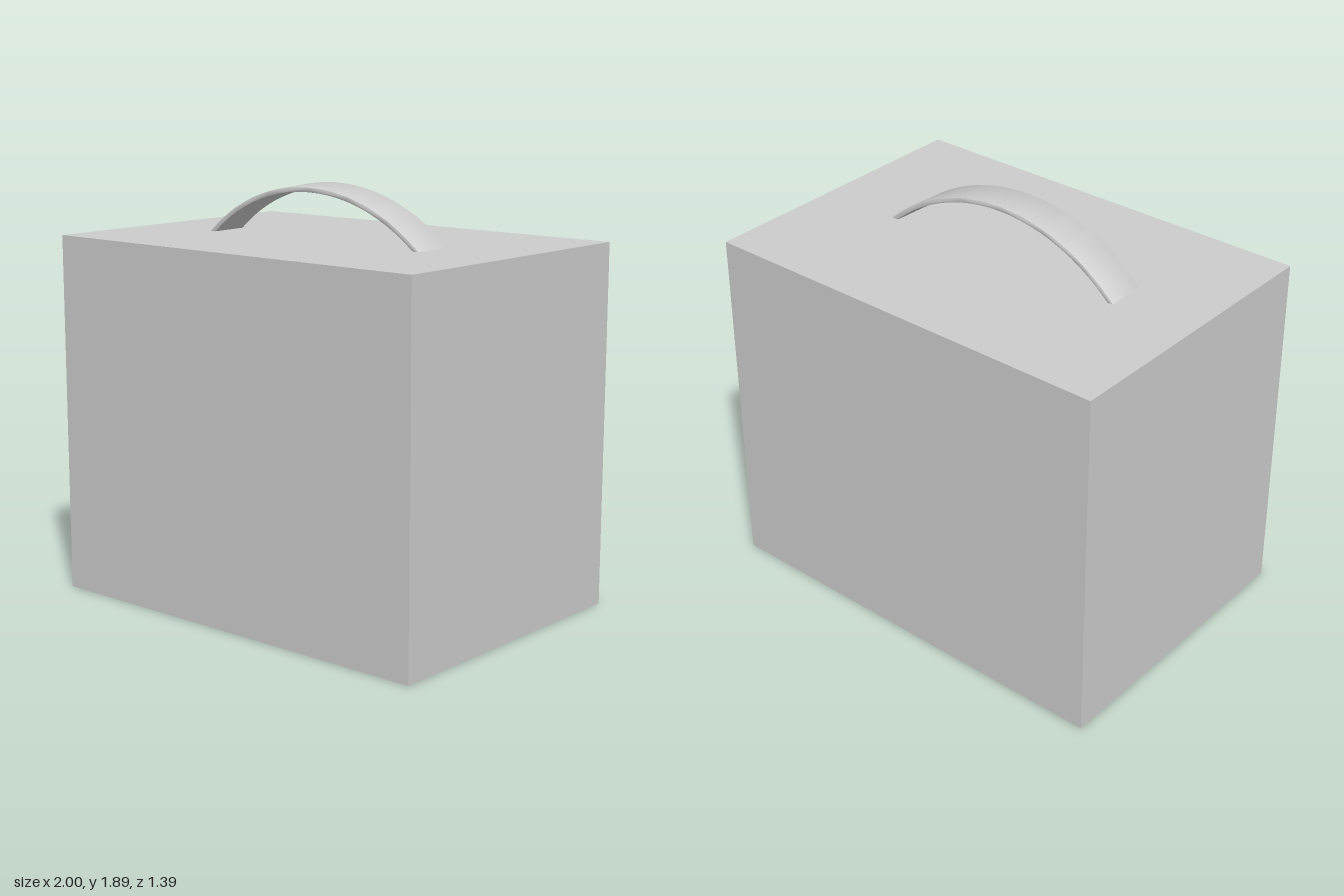
import * as THREE from 'three';
import { toCreasedNormals } from 'three/addons/utils/BufferGeometryUtils.js';

const WIDTH = 2, HEIGHT = 1.645, DEPTH = 1.386;

// Curved strap: a thin slice of a ring, extruded to the strap's width
function strapGeometry(radius, thickness, width, halfAngle) {
  const bevel = 0.004;
  const outer = radius - bevel, inner = radius - thickness + bevel;
  const start = Math.PI / 2 - halfAngle, end = Math.PI / 2 + halfAngle;
  const shape = new THREE.Shape();
  shape.absarc(0, 0, outer, start, end, false);
  shape.absarc(0, 0, inner, end, start, true);
  shape.closePath();
  const geometry = new THREE.ExtrudeGeometry(shape, {
    depth: width - 2 * bevel, curveSegments: 12,
    bevelEnabled: true, bevelThickness: bevel, bevelSize: bevel, bevelSegments: 2,
  });
  geometry.translate(0, 0, -width / 2 + bevel);
  return toCreasedNormals(geometry, 0.6);
}

export function createModel() {
  const group = new THREE.Group();
  const material = new THREE.MeshStandardMaterial({ color: 0xcccccc });

  // Plain box body standing on the ground
  const body = new THREE.Mesh(new THREE.BoxGeometry(WIDTH, HEIGHT, DEPTH), material);
  body.name = 'body';
  body.position.y = HEIGHT / 2;
  group.add(body);

  // Arched carry handle, leaning slightly forward, its ends sunk into the lid
  const radius = 0.895, rise = 0.24;
  const geometry = strapGeometry(radius, 0.022, 0.193, 0.78);
  geometry.translate(0, rise - radius, 0);
  const handle = new THREE.Mesh(geometry, material);
  handle.name = 'handle';
  handle.position.set(-0.01, HEIGHT, 0.041);
  handle.rotation.x = 0.05;
  group.add(handle);

  return group;
}
